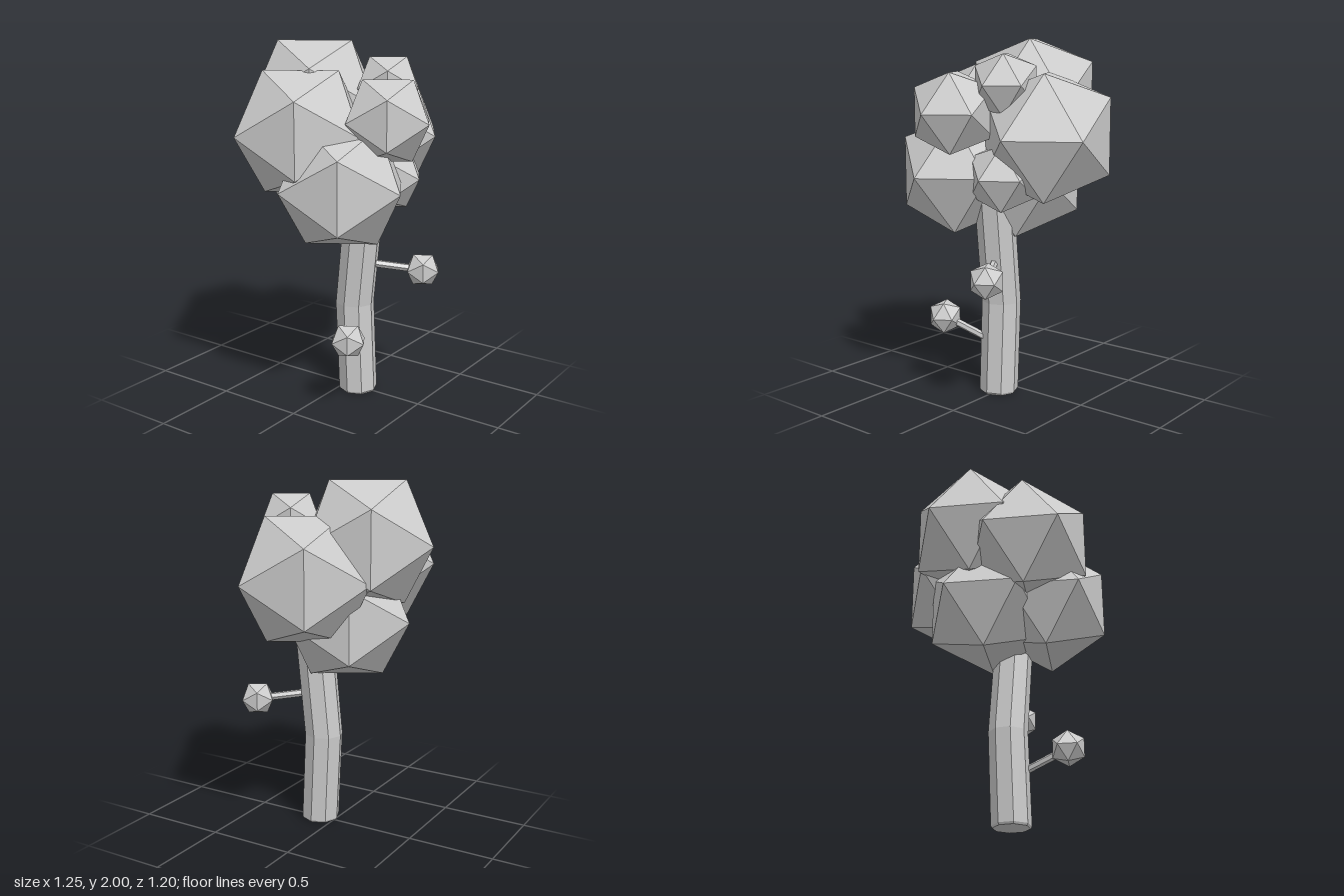
import * as THREE from 'three';

const material = new THREE.MeshStandardMaterial({ color: 0xcccccc, flatShading: true });

// One faceted leaf ball; all share the same turn about y
function leafBall(name, r, x, y, z) {
  const mesh = new THREE.Mesh(new THREE.IcosahedronGeometry(r, 0), material);
  mesh.name = name;
  mesh.position.set(x, y, z);
  mesh.rotation.y = -THREE.MathUtils.degToRad(58.28);
  return mesh;
}

// Octagonal trunk: cylinder rings moved to [height, z offset, radius]
function trunk() {
  const rings = [[1.35, 0.155, 0.111], [0.53, 0.072, 0.111], [0.012, 0.096, 0.111], [0, 0.096, 0.104]];
  const geo = new THREE.CylinderGeometry(1, 1, 3, 8, 3);
  const p = geo.attributes.position;
  for (let i = 0; i < p.count; i++) {
    const [y, z, r] = rings[Math.round(1.5 - p.getY(i))];
    p.setXYZ(i, p.getX(i) * r - 0.008, y, p.getZ(i) * r + z);
  }
  geo.computeVertexNormals();
  const mesh = new THREE.Mesh(geo, material);
  mesh.name = 'trunk';
  return mesh;
}

// Thin straight twig between two points
function twig(name, from, to) {
  const a = new THREE.Vector3(...from), b = new THREE.Vector3(...to);
  const dir = b.clone().sub(a);
  const mesh = new THREE.Mesh(new THREE.CylinderGeometry(0.022, 0.022, dir.length(), 6), material);
  mesh.name = name;
  mesh.position.copy(a).add(b).multiplyScalar(0.5);
  mesh.quaternion.setFromUnitVectors(new THREE.Vector3(0, 1, 0), dir.normalize());
  return mesh;
}

export function createModel() {
  const tree = new THREE.Group();
  tree.name = 'tree';
  tree.add(trunk());

  // Crown: name, radius, centre
  const crown = new THREE.Group();
  crown.name = 'crown';
  [
    ['crownTop', 0.393, 0, 1.666, -0.21],
    ['crownLeft', 0.397, 0.27, 1.482, 0.02],
    ['crownRight', 0.386, -0.284, 1.533, -0.091],
    ['crownLowerRight', 0.371, -0.248, 1.258, 0.147],
    ['crownLowerBack', 0.387, 0, 1.246, -0.085],
    ['crownFront', 0.252, -0.111, 1.61, 0.346],
    ['crownUpperFront', 0.193, 0.124, 1.756, 0.196],
    ['crownLowerFront', 0.208, 0.115, 1.264, 0.204],
  ].forEach((b) => crown.add(leafBall(...b)));
  tree.add(crown);

  // Side twigs with their small leaf balls
  tree.add(
    twig('upperTwig', [-0.01, 0.778, 0.12], [0.17, 0.737, 0.413]),
    leafBall('upperTwigLeaves', 0.102, 0.17, 0.737, 0.413),
    twig('lowerTwig', [-0.04, 0.308, 0.14], [-0.3, 0.418, 0.229]),
    leafBall('lowerTwigLeaves', 0.102, -0.3, 0.418, 0.229),
  );
  return tree;
}
